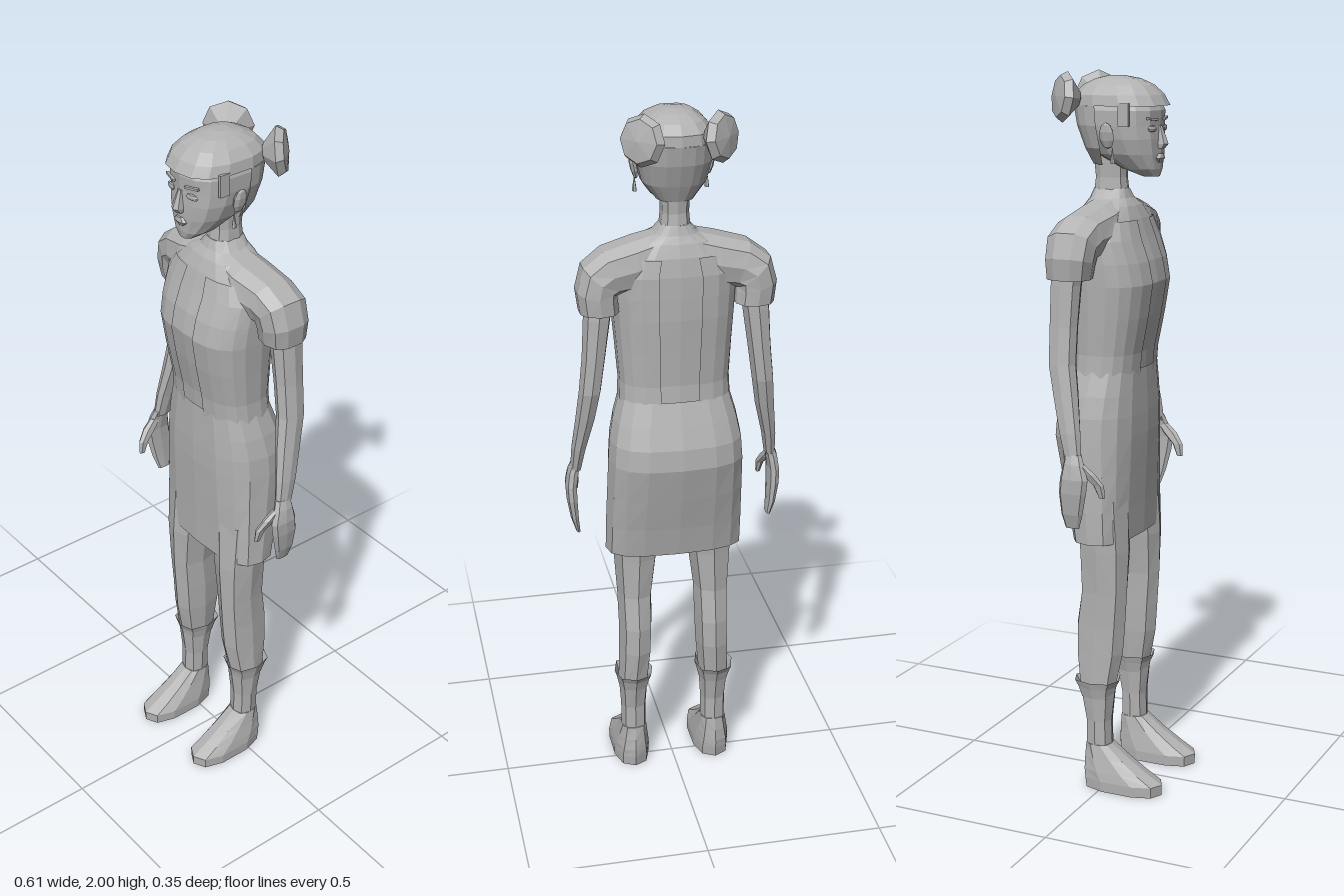
import * as THREE from 'three';

const grey = new THREE.MeshStandardMaterial({ color: 0xb2b2b2, side: THREE.DoubleSide });
grey.name = 'plain grey';

// faceted mesh
function part(name, geo, parent) {
  const g = geo.index ? geo.toNonIndexed() : geo;
  g.computeVertexNormals();
  const m = new THREE.Mesh(g, grey);
  m.name = name;
  parent.add(m);
  return m;
}

// Skin over rings listed bottom to top: [centreX, y, halfWidth, zFront, zBack, tiltDegrees]
function loft(rings, { n = 8, p = 0.8, from = 0, to = Math.PI * 2, caps = true, grow = 0 } = {}) {
  const pow = v => Math.sign(v) * Math.abs(v) ** p;
  const pos = [], idx = [], row = n + 1;
  for (const [cx, y, hw, zf, zb, tilt = 0] of rings) {
    const t = tilt * Math.PI / 180;
    for (let i = 0; i <= n; i++) {
      const a = from + (to - from) * i / n;
      const s = pow(Math.sin(a)) * (hw + grow);
      pos.push(cx + s * Math.cos(t), y + s * Math.sin(t),
        (zf + zb) / 2 + pow(Math.cos(a)) * ((zf - zb) / 2 + grow));
    }
  }
  for (let r = 0; r < rings.length - 1; r++) {
    for (let i = 0; i < n; i++) {
      const a = r * row + i, b = a + row;
      idx.push(a, a + 1, b + 1, a, b + 1, b);
    }
  }
  if (caps) {
    for (const r of [0, rings.length - 1]) {
      const [cx, y, , zf, zb] = rings[r], c = pos.length / 3;
      pos.push(cx, y, (zf + zb) / 2);
      for (let i = 0; i < n; i++) {
        const a = r * row + i;
        if (r) idx.push(c, a, a + 1); else idx.push(c, a + 1, a);
      }
    }
  }
  const g = new THREE.BufferGeometry();
  g.setAttribute('position', new THREE.Float32BufferAttribute(pos, 3));
  g.setIndex(idx);
  return g;
}

function buildSide() {
  const s = new THREE.Group();

  // leg, ankle cuff and foot
  part('leg', loft([
    [0.12, 0.10, 0.036, 0.02, -0.055], [0.12, 0.20, 0.037, 0.018, -0.055],
    [0.12, 0.30, 0.044, 0.03, -0.075], [0.114, 0.40, 0.047, 0.05, -0.09],
    [0.112, 0.48, 0.048, 0.056, -0.09], [0.112, 0.58, 0.05, 0.062, -0.075],
    [0.108, 0.70, 0.062, 0.066, -0.078], [0.102, 0.85, 0.075, 0.06, -0.09],
  ]), s);
  part('ankleCuff', loft([
    [0.12, 0.27, 0.043, 0.025, -0.07], [0.12, 0.30, 0.05, 0.032, -0.08],
    [0.12, 0.32, 0.056, 0.042, -0.092],
  ], { caps: false }), s);
  part('foot', loft([
    [0.122, 0, 0.054, 0.174, -0.062], [0.122, 0.03, 0.055, 0.175, -0.066],
    [0.122, 0.055, 0.051, 0.13, -0.066], [0.121, 0.09, 0.044, 0.075, -0.062],
    [0.12, 0.13, 0.037, 0.02, -0.056],
  ], { n: 10 }), s);

  // sleeve curving from the shoulder down over the arm
  part('sleeve', loft([
    [0.21, 1.465, 0.054, 0.0, -0.12, 0], [0.215, 1.51, 0.058, 0.01, -0.122, 14],
    [0.207, 1.55, 0.062, 0.016, -0.122, 42], [0.175, 1.57, 0.066, 0.025, -0.115, 70],
    [0.11, 1.582, 0.072, 0.04, -0.11, 88], [0.05, 1.60, 0.068, 0.035, -0.10, 90],
  ], { n: 10, caps: false }), s);

  // arm, hand and thumb
  part('arm', loft([
    [0.276, 0.99, 0.015, 0.004, -0.045], [0.268, 1.06, 0.02, -0.003, -0.065],
    [0.25, 1.16, 0.027, -0.018, -0.09], [0.239, 1.24, 0.03, -0.03, -0.108],
    [0.227, 1.34, 0.032, -0.03, -0.11], [0.216, 1.45, 0.037, -0.025, -0.11],
    [0.205, 1.53, 0.042, -0.01, -0.105],
  ]), s);
  part('hand', loft([
    [0.274, 0.80, 0.006, -0.005, -0.045], [0.282, 0.84, 0.011, 0.008, -0.054],
    [0.288, 0.90, 0.015, 0.022, -0.058], [0.289, 0.94, 0.016, 0.028, -0.054],
    [0.283, 0.98, 0.016, 0.014, -0.046], [0.276, 1.005, 0.014, 0.004, -0.042],
  ]), s);
  part('thumb', loft([
    [0.265, 0.89, 0.006, 0.068, 0.05], [0.268, 0.925, 0.01, 0.066, 0.034],
    [0.276, 0.955, 0.012, 0.045, 0.0], [0.28, 0.98, 0.01, 0.015, -0.02],
  ], { n: 6 }), s);

  // vest panel wrapping from front to back
  part('vestPanel', loft(torsoRings.slice(0, 7), { n: 9, p: 0.75, from: 0.17, to: 2.9, caps: false, grow: 0.005 }), s);

  // flattened hair bun
  const profile = [[0, -0.045], [0.025, -0.035], [0.068, 0], [0.056, 0.02], [0, 0.028]]
    .map(q => new THREE.Vector2(...q));
  const bun = part('hairBun', new THREE.LatheGeometry(profile, 8), s);
  bun.position.set(0.1, 1.934, -0.125);
  bun.quaternion.setFromUnitVectors(new THREE.Vector3(0, 1, 0), new THREE.Vector3(0.7, 0.12, -0.7).normalize());

  // ear and earring
  const ear = part('ear', new THREE.SphereGeometry(1, 7, 5), s);
  ear.scale.set(0.01, 0.036, 0.022);
  ear.position.set(0.102, 1.835, -0.002);
  ear.rotation.z = -0.2;
  const earring = part('earring', new THREE.ConeGeometry(0.007, 0.045, 5), s);
  earring.position.set(0.097, 1.785, 0.012);

  // eye and brow plates
  const eye = part('eye', new THREE.SphereGeometry(1, 8, 4), s);
  eye.scale.set(0.02, 0.009, 0.005);
  eye.position.set(0.043, 1.853, 0.103);
  eye.rotation.y = 0.25;
  const brow = part('brow', new THREE.BoxGeometry(0.042, 0.006, 0.008), s);
  brow.position.set(0.043, 1.878, 0.104);
  brow.rotation.set(0, 0.25, 0.1);
  return s;
}

const torsoRings = [
  [0, 1.18, 0.15, 0.064, -0.115], [0, 1.25, 0.147, 0.07, -0.11],
  [0, 1.35, 0.154, 0.09, -0.115], [0, 1.44, 0.161, 0.104, -0.12],
  [0, 1.50, 0.164, 0.092, -0.12], [0, 1.56, 0.165, 0.07, -0.119],
  [0, 1.61, 0.14, 0.054, -0.112], [0, 1.645, 0.10, 0.038, -0.10],
  [0, 1.665, 0.06, 0.022, -0.09], [0, 1.69, 0.038, 0.012, -0.082],
];

export function createModel() {
  const model = new THREE.Group();
  model.name = 'figure';

  // body
  part('torso', loft(torsoRings, { n: 16, p: 0.75 }), model);
  part('neck', loft([
    [0, 1.67, 0.042, 0.014, -0.084], [0, 1.72, 0.037, 0.008, -0.078], [0, 1.79, 0.04, 0.01, -0.085],
  ], { n: 10 }), model);
  part('skirt', loft([
    [0, 0.73, 0.195, 0.064, -0.10], [0, 0.82, 0.194, 0.066, -0.118],
    [0, 0.92, 0.191, 0.07, -0.142], [0, 1.02, 0.188, 0.074, -0.165],
    [0, 1.08, 0.184, 0.074, -0.16], [0, 1.14, 0.172, 0.072, -0.14],
    [0, 1.205, 0.153, 0.07, -0.118],
  ], { n: 16, p: 0.72, caps: false }), model);

  // head
  part('head', loft([
    [0, 1.725, 0.022, 0.104, 0.06], [0, 1.745, 0.05, 0.108, 0.005],
    [0, 1.785, 0.078, 0.11, -0.07], [0, 1.825, 0.092, 0.11, -0.098],
    [0, 1.86, 0.097, 0.108, -0.115], [0, 1.90, 0.098, 0.11, -0.125],
    [0, 1.95, 0.08, 0.085, -0.11],
  ], { n: 14 }), model);
  part('nose', loft([
    [0, 1.80, 0.014, 0.122, 0.1], [0, 1.812, 0.016, 0.132, 0.1], [0, 1.86, 0.007, 0.113, 0.1],
  ], { n: 6 }), model);
  part('lips', loft([
    [0, 1.762, 0.012, 0.111, 0.098], [0, 1.774, 0.025, 0.118, 0.095], [0, 1.786, 0.012, 0.116, 0.1],
  ], { n: 8, p: 1 }), model);

  // hair cap with a fringe edge, and the hair behind the ears
  part('hairCap', loft([
    [0, 1.912, 0.103, 0.124, -0.134], [0, 1.94, 0.098, 0.108, -0.132],
    [0, 1.965, 0.076, 0.082, -0.11], [0, 1.982, 0.05, 0.045, -0.075],
    [0, 1.99, 0.02, 0.0, -0.04],
  ], { n: 14 }), model);
  part('backHair', loft([
    [0, 1.755, 0.05, 0.03, -0.082], [0, 1.80, 0.087, 0.09, -0.102],
    [0, 1.86, 0.102, 0.112, -0.124], [0, 1.912, 0.103, 0.12, -0.134],
  ], { n: 10, from: 1.75, to: Math.PI * 2 - 1.75, caps: false }), model);
  for (const x of [-1, 1]) {
    const lock = part('sideLock', new THREE.BoxGeometry(0.008, 0.06, 0.03), model);
    lock.position.set(x * 0.098, 1.89, 0.045);
  }

  // mirrored limbs and details
  const left = buildSide();
  left.name = 'leftSide';
  const right = buildSide();
  right.name = 'rightSide';
  right.scale.x = -1;
  model.add(left, right);
  return model;
}
